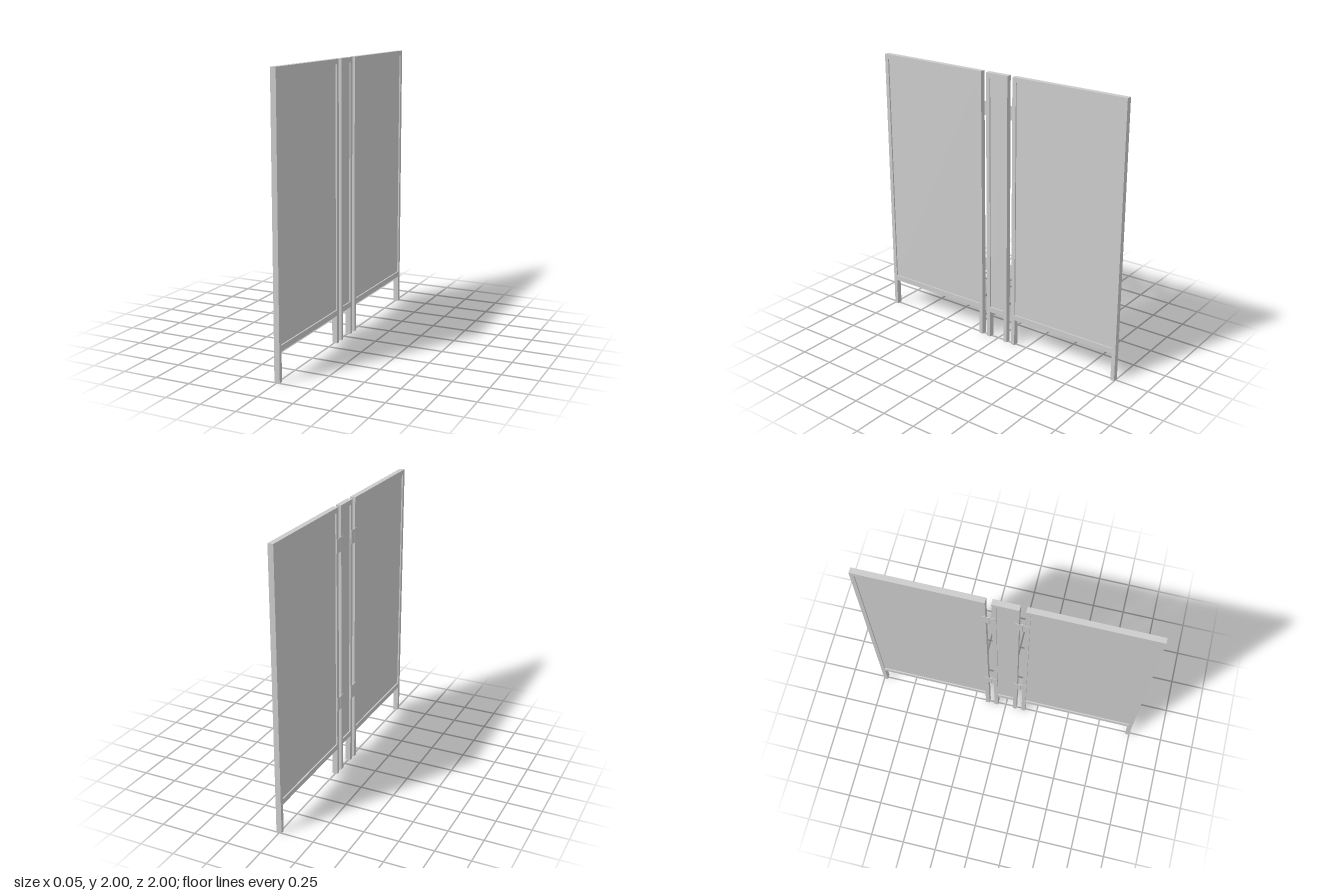
import * as THREE from 'three';

const material = new THREE.MeshStandardMaterial({ color: 0xcccccc });

const X_BACK = -0.017, X_FRONT = 0.022; // frame faces
const X_MID = (X_BACK + X_FRONT) / 2;
const DEPTH = X_FRONT - X_BACK;
const POST = 0.029;                     // post width
const HEIGHT = 2;
const RAIL_BOTTOM = 0.205, OPEN_BOTTOM = 0.245, OPEN_TOP = 1.965;

// Box given by its minimum and maximum on each axis
function box(name, [x0, x1], [y0, y1], [z0, z1]) {
  const mesh = new THREE.Mesh(new THREE.BoxGeometry(x1 - x0, y1 - y0, z1 - z0), material);
  mesh.position.set((x0 + x1) / 2, (y0 + y1) / 2, (z0 + z1) / 2);
  mesh.name = name;
  return mesh;
}

// One framed leaf of the screen, standing on its two posts
function createPanel(name, z0, z1) {
  const panel = new THREE.Group();
  panel.name = name;
  const x = [X_BACK, X_FRONT];
  const inner = [z0 + POST, z1 - POST];
  panel.add(
    box('backPost', x, [0, HEIGHT], [z0, inner[0]]),
    box('frontPost', x, [0, HEIGHT], [inner[1], z1]),
    box('topRail', x, [OPEN_TOP, HEIGHT], inner),
    box('bottomRail', x, [RAIL_BOTTOM, OPEN_BOTTOM], inner),
    box('infillBoard', [X_MID - DEPTH * 0.25, X_MID + DEPTH * 0.25], [OPEN_BOTTOM, OPEN_TOP], inner)
  );
  return panel;
}

// Hinge with two flat plates and a round pin between them
function createHinge(y, z) {
  const hinge = new THREE.Group();
  hinge.name = 'hinge';
  const h = 0.1, pinRadius = 0.006;
  for (const side of [-1, 1]) {
    const ends = [z + side * 0.002, z + side * 0.048].sort((a, b) => a - b);
    hinge.add(box('hingePlate', [X_BACK - 0.003, X_BACK], [y - h / 2, y + h / 2], ends));
  }
  const pin = new THREE.Mesh(new THREE.CylinderGeometry(pinRadius, pinRadius, h, 16), material);
  pin.name = 'hingePin';
  pin.position.set(-0.022 + pinRadius - 0.001, y, z);
  hinge.add(pin);
  return hinge;
}

export function createModel() {
  const screen = new THREE.Group();
  screen.name = 'foldingScreen';
  screen.add(
    createPanel('frontPanel', 0.13, 1),
    createPanel('middlePanel', -0.089, 0.089),
    createPanel('backPanel', -1, -0.13)
  );
  for (const y of [0.562, 1.736]) {
    for (const z of [-0.11, 0.11]) screen.add(createHinge(y, z));
  }
  return screen;
}
